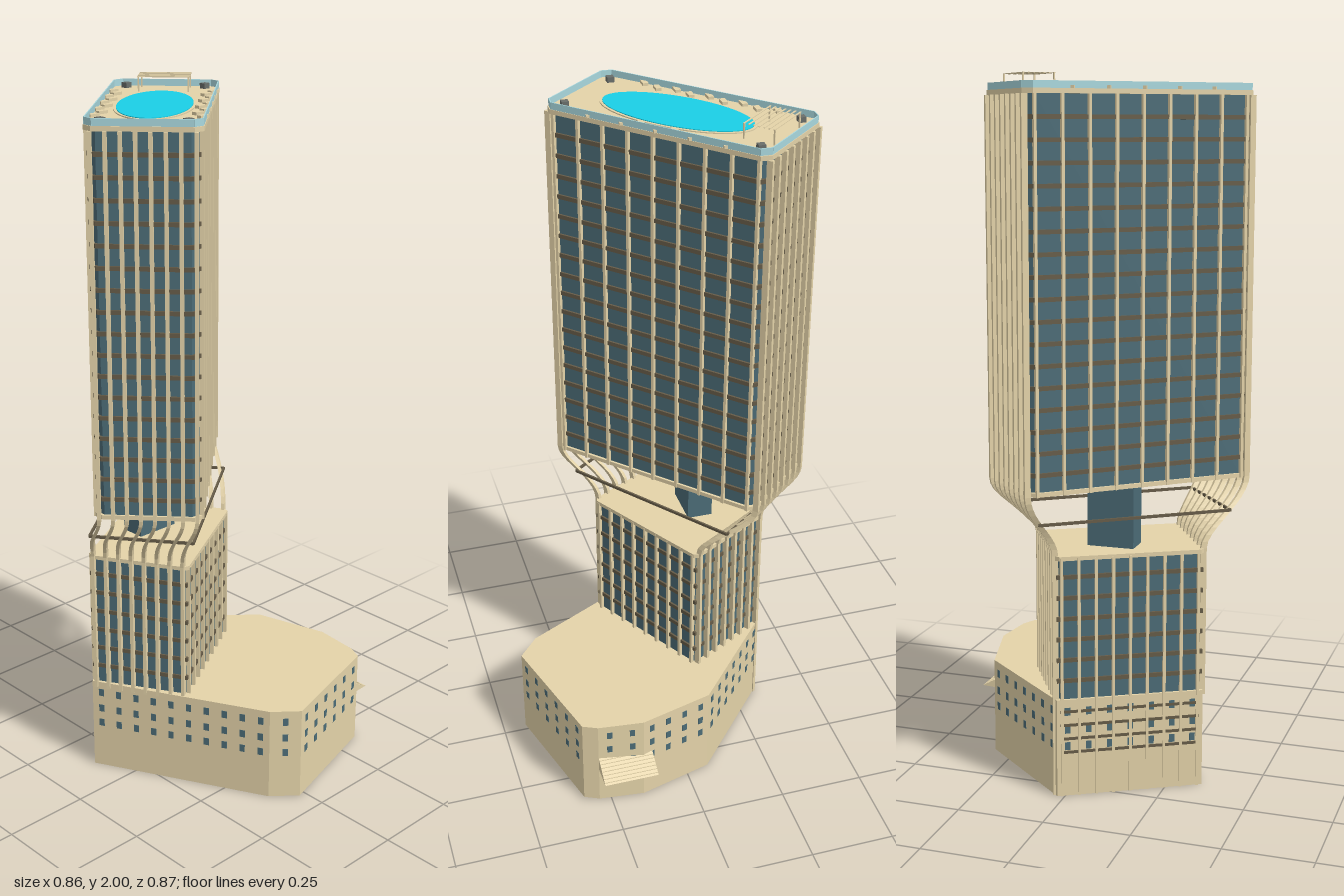
import * as THREE from 'three';
import { mergeGeometries } from 'three/addons/utils/BufferGeometryUtils.js';

const paint = (color, side = THREE.FrontSide) =>
  new THREE.MeshStandardMaterial({ color, side, flatShading: true });
const TAN = paint(0xe4d3a9), OPEN_TAN = paint(0xe4d3a9, THREE.DoubleSide), LEDGE = paint(0x665c48),
  GLASS = paint(0x4c6c77), WATER = paint(0x1acfe6), RAIL = paint(0xa9d8de), DARK = paint(0x6a6f6b);

const CX = -0.095, CZ = 0.088;               // tower axis
const UP = { a: 0.333, b: 0.148, r: 47.5 };  // upper block half sizes and turn
const LOW = { a: 0.21, b: 0.148, r: 60 };    // lower block
const NECK0 = 0.7, NECK1 = 0.885, TOP = 1.945;

// Tower plan at height y: lower block turns and grows into the upper one
function plan(y) {
  const t = THREE.MathUtils.smoothstep(y, NECK0, NECK1);
  const mix = k => LOW[k] + (UP[k] - LOW[k]) * t;
  return { a: mix('a'), b: mix('b'), r: THREE.MathUtils.degToRad(mix('r')) };
}
function at(y, u, v, dx = 0, dz = 0) {
  const { a, b, r } = plan(y), x = a * u + dx, z = b * v + dz;
  return [CX + x * Math.cos(r) - z * Math.sin(r), y, CZ + x * Math.sin(r) + z * Math.cos(r)];
}

// Box with its centre at x, y, z, turned about y
function box(w, h, d, x, y, z, turn = 0) {
  return new THREE.BoxGeometry(w, h, d).rotateY(turn).translate(x, y, z);
}
// Upright prism from [x, z] points
function prism(pts, y0, y1) {
  const shape = new THREE.Shape(pts.map(p => new THREE.Vector2(...p)));
  return new THREE.ExtrudeGeometry(shape, { depth: y1 - y0, bevelEnabled: false })
    .rotateX(Math.PI / 2).translate(0, y1, 0);
}
// Rectangle with cut corners
function chamfered(a, b, c) {
  return [[a - c, -b], [a, c - b], [a, b - c], [a - c, b], [c - a, b], [-a, b - c], [-a, c - b], [c - a, -b]];
}
// Upright bars along both long sides of a block
function mullions({ a, b }, y0, y1) {
  const bars = [];
  for (const s of [1, -1]) for (let i = 0; i < 9; i++)
    bars.push(box(0.008, y1 - y0, 0.012, a * (-0.93 + 1.86 * i / 8), (y0 + y1) / 2, s * (b - 0.002)));
  return bars;
}

// Rib on an end face, bending through the neck, swept from four-sided sections
function endRib(s, v, y0) {
  const ys = [y0, NECK0];
  for (let i = 1; i <= 10; i++) ys.push(NECK0 + (NECK1 - NECK0) * i / 10);
  ys.push(TOP);
  const h = 0.005, inner = -0.007 * s, outer = 0.01 * s;
  const corners = [[inner, -h], [outer, -h], [outer, h], [inner, h]];
  if (s < 0) corners.reverse();
  const pos = [], idx = [];
  ys.forEach(y => corners.forEach(c => pos.push(...at(y, s, v, ...c))));
  for (let i = 0; i < ys.length - 1; i++) for (let j = 0; j < 4; j++) {
    const p = i * 4 + j, q = i * 4 + (j + 1) % 4;
    idx.push(p, p + 4, q, q, p + 4, q + 4);
  }
  const e = pos.length / 3 - 4;
  idx.push(e, e + 2, e + 1, e, e + 3, e + 2, 0, 1, 2, 0, 2, 3);
  const g = new THREE.BufferGeometry();
  g.setAttribute('position', new THREE.Float32BufferAttribute(pos, 3));
  g.setIndex(idx);
  g.computeVertexNormals();
  return g;
}

export function createModel() {
  const model = new THREE.Group();
  function add(name, geos, mat, parent = model) {
    const list = [].concat(geos);
    const mesh = new THREE.Mesh(list.length > 1 ? mergeGeometries(list) : list[0], mat);
    mesh.name = name;
    parent.add(mesh);
  }
  function block(name, r) {
    const g = new THREE.Group();
    g.name = name;
    g.position.set(CX, 0, CZ);
    g.rotation.y = -THREE.MathUtils.degToRad(r);
    model.add(g);
    return g;
  }

  // Lower block: glass, mullions, floor ledges, terrace
  const lower = block('lowerTower', LOW.r);
  add('lowerGlass', prism(chamfered(LOW.a - 0.006, LOW.b - 0.007, 0.01), 0, NECK0 - 0.01), GLASS, lower);
  add('terrace', prism(chamfered(LOW.a + 0.003, LOW.b + 0.003, 0.012), NECK0 - 0.012, NECK0), TAN, lower);
  add('lowerMullions', mullions(LOW, 0, NECK0 - 0.005), TAN, lower);
  const lowLedges = [];
  for (let y = 0.64; y > 0.29; y -= 0.06) lowLedges.push(box(LOW.a * 2 - 0.002, 0.012, LOW.b * 2 - 0.002, 0, y, 0));
  for (const y of [0.13, 0.17, 0.21, 0.25]) lowLedges.push(box(LOW.a * 2 - 0.02, 0.008, 0.02, 0, y, LOW.b - 0.007));
  add('lowerLedges', lowLedges, LEDGE, lower);

  // Upper block: glass, soffit, mullions, floor ledges, roof deck
  const upper = block('upperTower', UP.r);
  add('upperGlass', prism(chamfered(UP.a - 0.006, UP.b - 0.007, 0.02), NECK1 + 0.01, TOP), GLASS, upper);
  add('soffit', prism(chamfered(UP.a, UP.b, 0.02), NECK1, NECK1 + 0.012), TAN, upper);
  add('upperMullions', mullions(UP, NECK1, TOP), TAN, upper);
  const floors = 18, upLedges = [];
  for (let i = 1; i < floors; i++) {
    const y = NECK1 + (TOP - NECK1) * i / floors;
    upLedges.push(prism(chamfered(UP.a - 0.001, UP.b - 0.001, 0.02), y - 0.006, y + 0.006));
  }
  add('upperLedges', upLedges, LEDGE, upper);
  add('roofDeck', prism(chamfered(UP.a + 0.005, UP.b + 0.005, 0.022), TOP, 1.958), TAN, upper);

  // Service core and light floor ring in the open neck
  add('neckCore', box(0.075, NECK1 - NECK0 + 0.02, 0.135, -0.143, (NECK0 + NECK1) / 2, CZ), GLASS);
  const ring = [[1, 1], [-1, 1], [-1, -1], [1, -1]].map(([u, v], i, all) => {
    const p = new THREE.Vector3(...at(0.8, u, v)), q = new THREE.Vector3(...at(0.8, ...all[(i + 1) % 4]));
    const m = p.clone().add(q).multiplyScalar(0.5);
    return box(p.distanceTo(q), 0.008, 0.006, m.x, m.y, m.z, Math.atan2(p.z - q.z, q.x - p.x));
  });
  add('neckRing', ring, LEDGE);

  // Ribs of the two end faces
  const ribs = [];
  for (const s of [1, -1]) for (let i = 0; i < 8; i++)
    ribs.push(endRib(s, -0.91 + 1.82 * i / 7, s > 0 ? 0.27 : 0));
  add('endRibs', ribs, TAN);

  // Roof: pool with rim, railing, loungers, planters
  const ellipse = (a, b, y0, y1) =>
    new THREE.CylinderGeometry(1, 1, y1 - y0, 64).scale(a, 1, b).translate(0.014, (y0 + y1) / 2, 0);
  add('poolRim', ellipse(0.233, 0.11, 1.955, 1.961), TAN, upper);
  add('pool', ellipse(0.225, 0.102, 1.955, 1.963), WATER, upper);
  const edge = chamfered(UP.a + 0.002, UP.b + 0.002, 0.022);
  add('glassRailing', edge.map((p, i) => {
    const q = edge[(i + 1) % 8];
    return box(Math.hypot(q[0] - p[0], q[1] - p[1]), 0.019, 0.003, (p[0] + q[0]) / 2, 1.9675,
      (p[1] + q[1]) / 2, Math.atan2(p[1] - q[1], q[0] - p[0]));
  }), RAIL, upper);
  const turn = THREE.MathUtils.degToRad(UP.r), loungers = [], planters = [];
  for (const s of [1, -1]) {
    for (let i = 0; i < 9; i++)
      loungers.push(box(0.016, 0.008, 0.03, -0.21 + i * 0.0515, 1.962, s * (i % 2 ? 0.126 : 0.142), turn));
    for (const e of [1, -1]) planters.push(box(0.02, 0.016, 0.02, e * 0.295, 1.965, s * 0.112, turn));
  }
  add('loungers', loungers, TAN, upper);
  add('planters', planters, DARK, upper);

  // Pergola at one end of the roof
  const pergola = [];
  for (let i = 0; i < 7; i++) pergola.push(box(0.004, 0.002, 0.148, -0.31 + i * 0.0145, 1.999, 0));
  for (const x of [-0.31, -0.223]) for (const z of [-0.07, 0.07])
    pergola.push(box(0.004, 0.043, 0.004, x, 1.9775, z));
  add('pergola', pergola, TAN, upper);

  // Podium: open underneath, flat roof, small flush windows
  const H = 0.285;
  const foot = [[-0.329, -0.02], [-0.118, 0.345], [0.37, 0.09], [0.43, 0.02], [0.328, -0.34],
    [0.285, -0.36], [0.15, -0.375], [-0.07, -0.315]];
  const pos = [], windows = [];
  foot.forEach((p, i) => {
    const q = foot[(i + 1) % foot.length];
    const A = [p[0], 0, p[1]], B = [q[0], 0, q[1]], C = [q[0], H, q[1]], D = [p[0], H, p[1]];
    pos.push(...A, ...B, ...C, ...A, ...C, ...D);
    const len = Math.hypot(q[0] - p[0], q[1] - p[1]), n = Math.floor(len / 0.054);
    const angle = Math.atan2(p[1] - q[1], q[0] - p[0]);
    for (let k = 0; k < n; k++) for (const y of [0.148, 0.197, 0.25]) {
      const t = (k + 0.5) / n;
      windows.push(box(0.016, 0.023, 0.002, p[0] + (q[0] - p[0]) * t, y, p[1] + (q[1] - p[1]) * t, angle));
    }
  });
  const walls = new THREE.BufferGeometry();
  walls.setAttribute('position', new THREE.Float32BufferAttribute(pos, 3));
  walls.computeVertexNormals();
  add('podiumWalls', walls, OPEN_TAN);
  const roof = new THREE.Shape(foot.map(p => new THREE.Vector2(p[0], -p[1])));
  add('podiumRoof', new THREE.ShapeGeometry(roof).rotateX(-Math.PI / 2).translate(0, H, 0), OPEN_TAN);
  add('podiumWindows', windows, GLASS);

  // Entrance canopy: sloping wedge with raised seams
  const wedge = new THREE.Shape([[0.355, 0.12], [0.435, 0.124], [0.355, 0.168]].map(p => new THREE.Vector2(...p)));
  add('canopy', new THREE.ExtrudeGeometry(wedge, { depth: 0.163, bevelEnabled: false })
    .rotateY(Math.PI / 2).translate(0.122, 0, 0), TAN);
  const seams = [];
  for (let i = 0; i < 7; i++) seams.push(box(0.163, 0.002, 0.002, 0.2035, 0.161 - i * 0.0055, -0.368 - i * 0.01));
  add('canopySeams', seams, TAN);
  return model;
}
